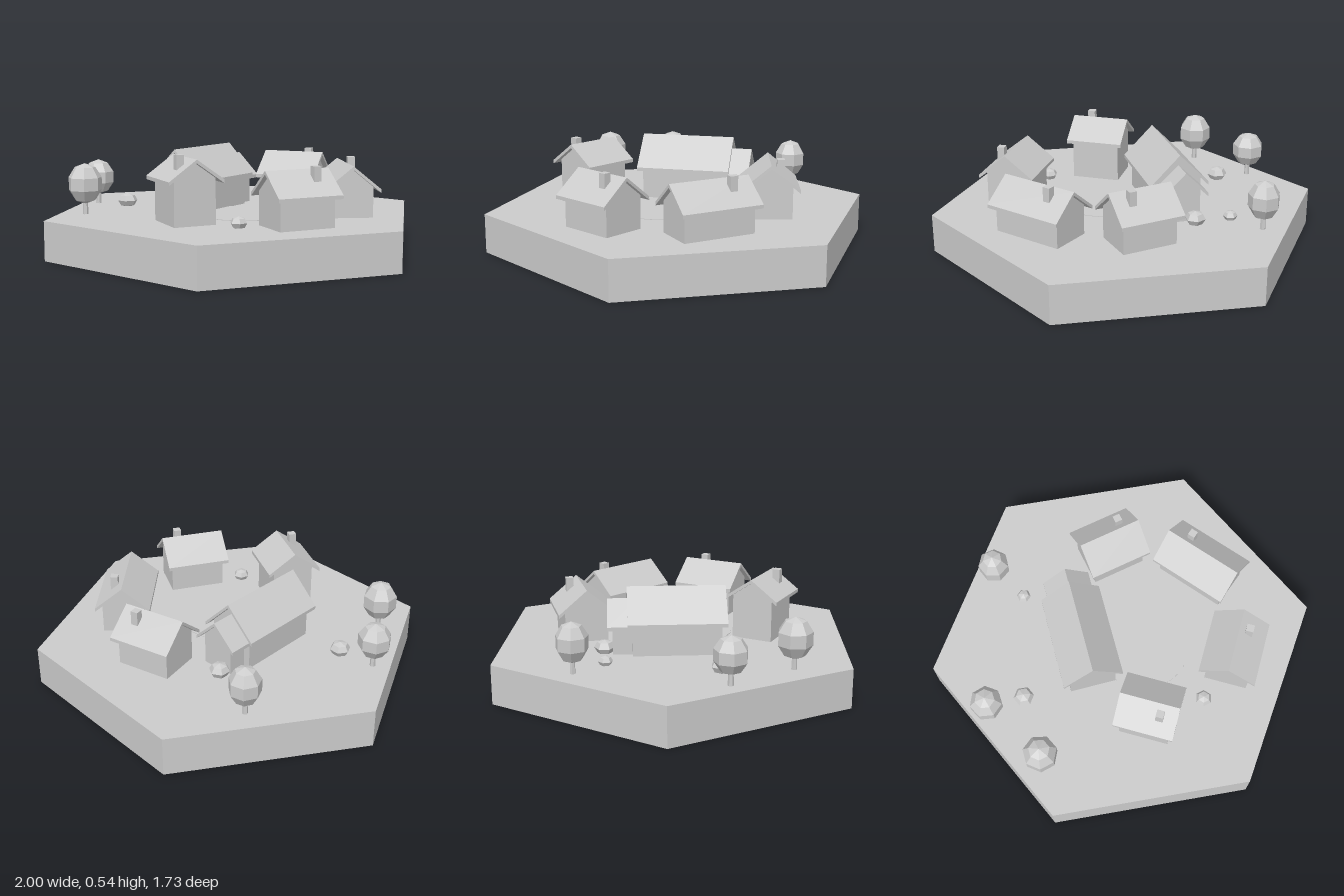
import * as THREE from 'three';

const stone = new THREE.MeshStandardMaterial({ color: 0xcccccc, flatShading: true, side: THREE.DoubleSide });
stone.name = 'paleGrey';

const GROUND = 0.2, SUNK = 0.18;

function part(parent, name, geometry, x = 0, y = 0, z = 0) {
  const mesh = new THREE.Mesh(geometry, stone);
  mesh.name = name;
  mesh.position.set(x, y, z);
  parent.add(mesh);
  return mesh;
}

// Removes the faces lying in the lowest plane, leaving the shell open below
function openBelow(geometry) {
  const g = geometry.index ? geometry.toNonIndexed() : geometry;
  g.computeBoundingBox();
  const low = g.boundingBox.min.y + 1e-5, src = g.attributes.position, kept = [];
  for (let i = 0; i < src.count; i += 3) {
    if ([0, 1, 2].every((k) => src.getY(i + k) < low)) continue;
    for (let k = 0; k < 3; k++) kept.push(src.getX(i + k), src.getY(i + k), src.getZ(i + k));
  }
  const out = new THREE.BufferGeometry();
  out.setAttribute('position', new THREE.Float32BufferAttribute(kept, 3));
  out.computeVertexNormals();
  return out;
}

// Extrudes a cross-section of [z, y] points along x, centred
function prism(points, length) {
  const shape = new THREE.Shape(points.map(([z, y]) => new THREE.Vector2(-z, y)));
  return new THREE.ExtrudeGeometry(shape, { depth: length, bevelEnabled: false })
    .translate(0, 0, -length / 2).rotateY(Math.PI / 2);
}

// Gabled walls and a folded roof slab; length and width are those of the roof
function gabled(parent, prefix, { length, width, apex, eave, x = 0 }) {
  const h = width / 2, t = 0.018, w = h - 0.035;
  const under = apex - t - 0.001;
  const wallTop = under - (apex - eave) * (w / h);
  part(parent, prefix + 'Walls', openBelow(prism(
    [[-w, SUNK], [w, SUNK], [w, wallTop], [0, under], [-w, wallTop]], length - 0.05)), x);
  part(parent, prefix + 'Roof', prism(
    [[-h, eave], [0, apex], [h, eave], [h, eave - t], [0, apex - t], [-h, eave - t]], length), x);
}

const houses = [
  { name: 'southHouse', at: [0.093, 0.575], turn: 4.5, length: 0.338, width: 0.29, apex: 0.473, eave: 0.358, chimney: [0.073, 0.051, 0.49] },
  { name: 'eastHouse', at: [0.5, 0.262], turn: 75.2, length: 0.423, width: 0.282, apex: 0.46, eave: 0.345, chimney: [0.096, 0.049, 0.478] },
  { name: 'northEastHouse', at: [0.427, -0.225], turn: -43.7, length: 0.333, width: 0.29, apex: 0.475, eave: 0.355, chimney: [0.07, -0.051, 0.49] },
  { name: 'westHouse', at: [-0.365, 0.278], turn: 94.5, length: 0.303, width: 0.283, apex: 0.52, eave: 0.42, chimney: [-0.065, -0.057, 0.538] },
  { name: 'hall', at: [-0.12, -0.175], turn: 35, length: 0.49, width: 0.307, apex: 0.525, eave: 0.37 },
];

export function createModel() {
  const model = new THREE.Group();
  model.name = 'village';

  // Hexagonal ground, hollow below, with a thin round square in the middle
  part(model, 'ground', openBelow(new THREE.CylinderGeometry(1, 1, GROUND, 6, 1, false, Math.PI / 2)), 0, GROUND / 2);
  part(model, 'villageSquare', new THREE.CylinderGeometry(0.24, 0.24, 0.003, 24), 0, GROUND + 0.0015, 0.12);

  // Houses
  for (const spec of houses) {
    const house = new THREE.Group();
    house.name = spec.name;
    house.position.set(spec.at[0], 0, spec.at[1]);
    house.rotation.y = THREE.MathUtils.degToRad(spec.turn);
    gabled(house, 'main', spec);
    if (spec.chimney) {
      const [x, z, top] = spec.chimney;
      part(house, 'chimney', new THREE.BoxGeometry(0.038, 0.11, 0.038), x, top - 0.055, z);
    }
    // Lower annex on the end of the hall
    if (spec.name === 'hall') gabled(house, 'annex', { length: 0.16, width: 0.24, apex: 0.465, eave: 0.35, x: 0.263 });
    model.add(house);
  }

  // Trees: x, z, crown radius, crown top
  [[-0.61, -0.5, 0.086, 0.44], [-0.76, -0.15, 0.09, 0.46], [0.095, -0.75, 0.083, 0.455]].forEach(([x, z, r, top], i) => {
    const tree = new THREE.Group();
    tree.name = 'tree' + (i + 1);
    tree.position.set(x, 0, z);
    tree.rotation.y = i * 1.3;
    part(tree, 'trunk', new THREE.CylinderGeometry(0.012, 0.015, 0.1, 6), 0, SUNK + 0.05);
    const half = (top - 0.252) / 2;
    part(tree, 'crown', new THREE.SphereGeometry(1, 7, 5).scale(r, half, r), 0, top - half);
    model.add(tree);
  });

  // Bushes: x, z, radius
  [[-0.485, -0.36, 0.053], [0.035, -0.57, 0.037], [0.145, -0.42, 0.053], [-0.175, 0.51, 0.043]].forEach(([x, z, r], i) => {
    const bush = part(model, 'bush' + (i + 1), new THREE.SphereGeometry(1, 6, 4).scale(r, r * 0.72, r), x, GROUND + r * 0.55, z);
    bush.rotation.y = i * 0.8;
  });

  return model;
}
